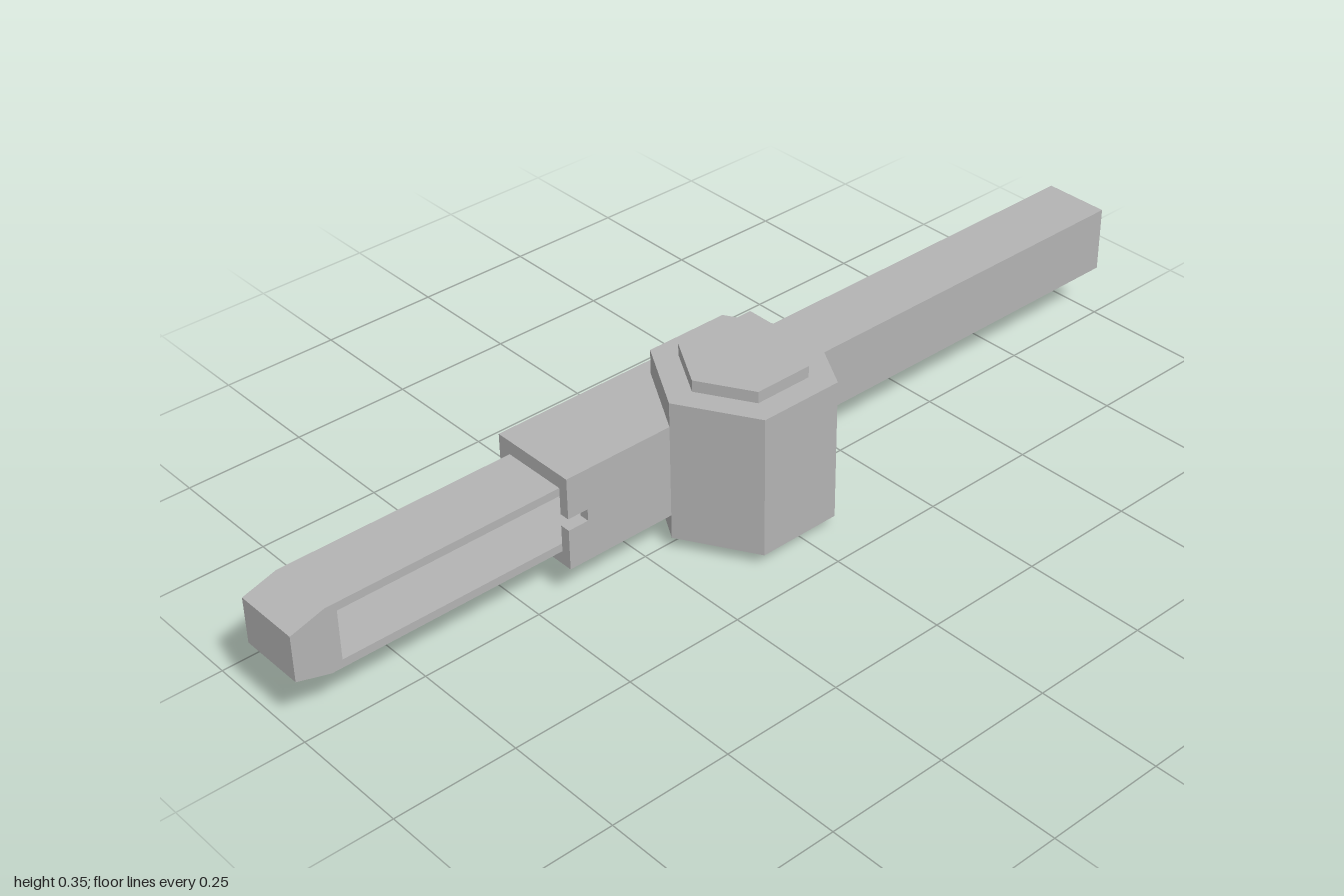
import * as THREE from 'three';

export function createModel() {
  const group = new THREE.Group();
  group.name = 'slidingForkClamp';
  const grey = new THREE.MeshStandardMaterial({ color: 0xb4b4b4 });
  grey.name = 'plainGrey';

  const MID = 0.176; // height of the slide axis
  const BACK = -0.17, FRONT = 0.437; // housing ends

  function add(name, geometry) {
    const mesh = new THREE.Mesh(geometry, grey);
    mesh.name = name;
    group.add(mesh);
    return mesh;
  }
  const outline = (pts) => pts.map(([a, b]) => new THREE.Vector2(a, b));

  // Extrudes a side profile of [z, y] points from x0 to x1
  function sideExtrude(points, x0, x1, hole) {
    const shape = new THREE.Shape(outline(points));
    if (hole) shape.holes.push(new THREE.Path(outline(hole)));
    return new THREE.ExtrudeGeometry(shape, { depth: x1 - x0, bevelEnabled: false })
      .rotateY(-Math.PI / 2)
      .translate(x1, 0, 0);
  }

  // Long bar: solid at the back, slotted through at the front, chamfered tip
  const h = 0.069, tip = 0.048, s = 0.052;
  add('slidingBar', sideExtrude(
    [[-1, MID - h], [0.93, MID - h], [1, MID - tip], [1, MID + tip], [0.93, MID + h], [-1, MID + h]],
    -0.143, -0.004,
    [[0.27, MID - s], [0.27, MID + s], [0.907, MID + s], [0.907, MID - s]]
  ));

  // Upper and lower housing jaws, each with a lip along the open side
  for (const side of [1, -1]) {
    const y = (d) => MID + side * d;
    const pts = [[-0.172, y(0.038)], [-0.143, y(0.038)], [-0.143, y(h)],
      [-0.004, y(h)], [-0.004, y(0.098)], [-0.172, y(0.098)]];
    const jaw = new THREE.ExtrudeGeometry(new THREE.Shape(outline(pts)),
      { depth: FRONT - BACK, bevelEnabled: false });
    add(side > 0 ? 'upperJaw' : 'lowerJaw', jaw.translate(0, 0, BACK));
  }

  // Closed housing wall with a small notch in its front edge
  const n = 0.0125, notchEnd = 0.393;
  add('housingWall', sideExtrude(
    [[BACK, MID - 0.098], [FRONT, MID - 0.098], [FRONT, MID - n], [notchEnd, MID - n],
      [notchEnd, MID + n], [FRONT, MID + n], [FRONT, MID + 0.098], [BACK, MID + 0.098]],
    -0.004, 0.017
  ));

  // Hexagonal hub and the smaller hexagonal caps above and below it
  function hexagon(name, radius, y0, y1) {
    const geometry = new THREE.CylinderGeometry(radius, radius, y1 - y0, 6).toNonIndexed();
    geometry.computeVertexNormals();
    add(name, geometry).position.set(0.017, (y0 + y1) / 2, 0.022);
  }
  hexagon('hexHub', 0.178, 0.027, 0.325);
  hexagon('topCap', 0.1235, 0.325, 0.349);
  hexagon('bottomCap', 0.1235, 0, 0.027);

  return group;
}
